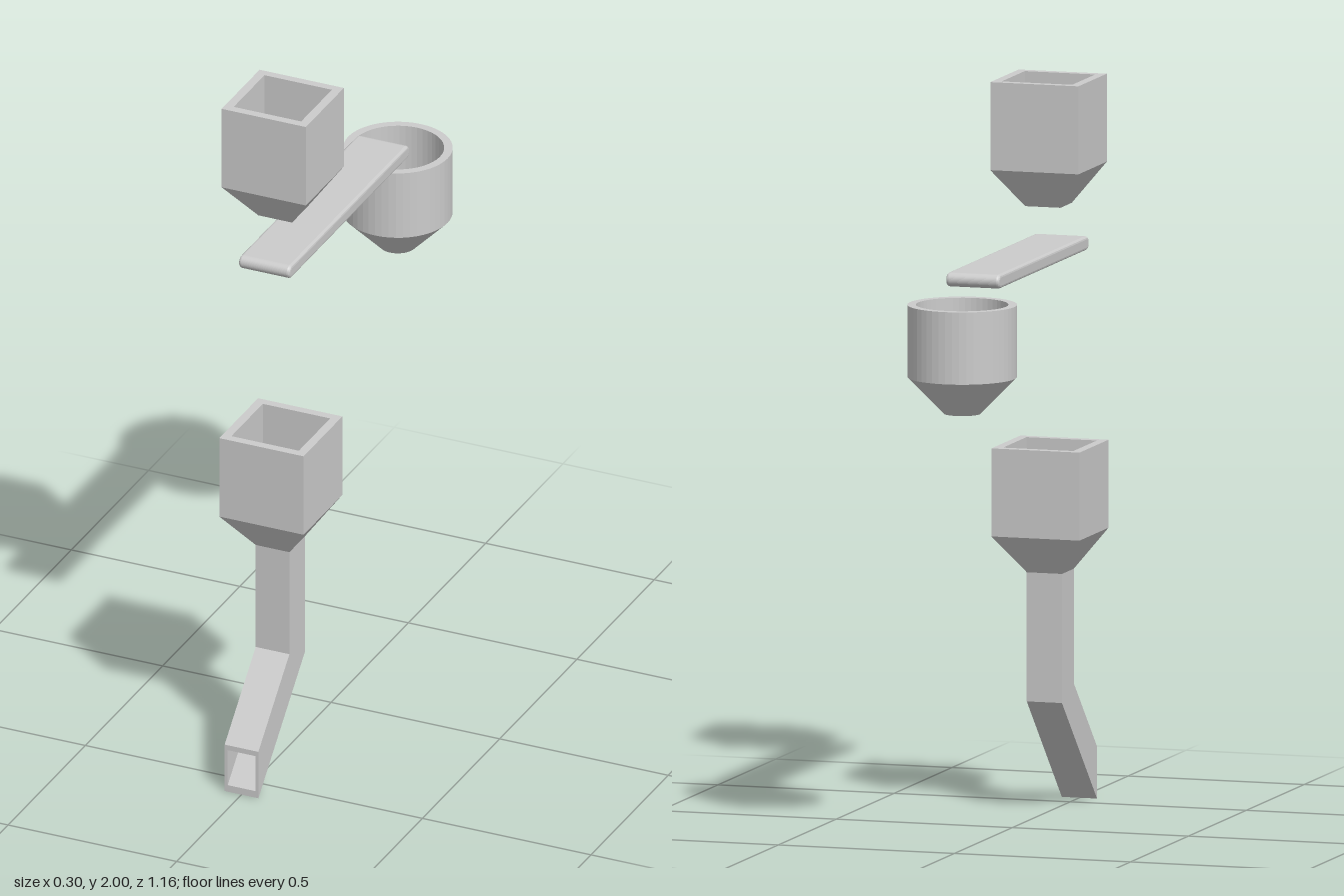
import * as THREE from 'three';

const mat = new THREE.MeshStandardMaterial({ color: 0xcccccc, flatShading: true });

// One rectangular section: half width, back edge (z, y) and front edge (z, y)
const section = (hx, zb, yb, zf, yf) => [
  [hx, yb, zb], [-hx, yb, zb], [-hx, yf, zf], [hx, yf, zf],
];
const level = (hx, y, zb, zf) => section(hx, zb, y, zf, y);

// Hollow duct: sections run up the outside, down the inside and join at the end
function duct(name, sections) {
  const pos = [];
  sections.forEach((a, i) => {
    const b = sections[(i + 1) % sections.length];
    for (let k = 0; k < 4; k++) {
      const n = (k + 1) % 4;
      pos.push(...a[k], ...a[n], ...b[n], ...a[k], ...b[n], ...b[k]);
    }
  });
  const g = new THREE.BufferGeometry();
  g.setAttribute('position', new THREE.Float32BufferAttribute(pos, 3));
  g.computeVertexNormals();
  return named(name, g);
}

function named(name, geometry) {
  const mesh = new THREE.Mesh(geometry, mat);
  mesh.name = name;
  return mesh;
}

export function createModel() {
  const model = new THREE.Group();
  model.name = 'hopperSystem';

  // Upper square hopper, open through the bottom
  model.add(duct('upperHopper', [
    level(0.05, 1.655, 0.264, 0.362),
    level(0.125, 1.76, 0.19, 0.436),
    level(0.125, 2, 0.19, 0.436),
    level(0.1, 2, 0.213, 0.412),
    level(0.1, 1.76, 0.213, 0.412),
    level(0.041, 1.655, 0.272, 0.353),
  ]));

  // Lower hopper running into a bent discharge chute
  model.add(duct('lowerHopperAndChute', [
    section(0.05, 0.58, 0, 0.58, 0.142),
    section(0.05, 0.277, 0.303, 0.379, 0.343),
    level(0.05, 0.655, 0.277, 0.379),
    level(0.125, 0.76, 0.2, 0.451),
    level(0.125, 1, 0.2, 0.451),
    level(0.1, 1, 0.224, 0.427),
    level(0.1, 0.76, 0.224, 0.427),
    level(0.041, 0.655, 0.287, 0.369),
    section(0.041, 0.287, 0.313, 0.369, 0.338),
    section(0.041, 0.58, 0.02, 0.58, 0.127),
  ]));

  // Conveyor belt: a long capsule outline extruded across its width
  const r = 0.011, bevel = 0.008, z0 = -0.327, z1 = 0.417, width = 0.152;
  const outline = new THREE.Shape();
  outline.absarc(z1, 0, r, -Math.PI / 2, Math.PI / 2, false);
  outline.absarc(z0, 0, r, Math.PI / 2, Math.PI * 1.5, false);
  const beltGeo = new THREE.ExtrudeGeometry(outline, {
    depth: width - 2 * bevel, curveSegments: 10,
    bevelEnabled: true, bevelSize: bevel, bevelThickness: bevel, bevelSegments: 3,
  });
  beltGeo.translate(0, 0, -width / 2 + bevel);
  beltGeo.rotateY(-Math.PI / 2);
  const belt = named('conveyorBelt', beltGeo);
  belt.position.y = 1.538;
  model.add(belt);

  // Round receiving funnel with a wall and an open outlet
  const profile = [
    [0.042, 1.19], [0.05, 1.19], [0.148, 1.29], [0.148, 1.487],
    [0.125, 1.487], [0.125, 1.29], [0.042, 1.19],
  ].map(([x, y]) => new THREE.Vector2(x, y));
  const funnel = named('roundFunnel', new THREE.LatheGeometry(profile, 48));
  funnel.position.z = -0.432;
  model.add(funnel);

  return model;
}
